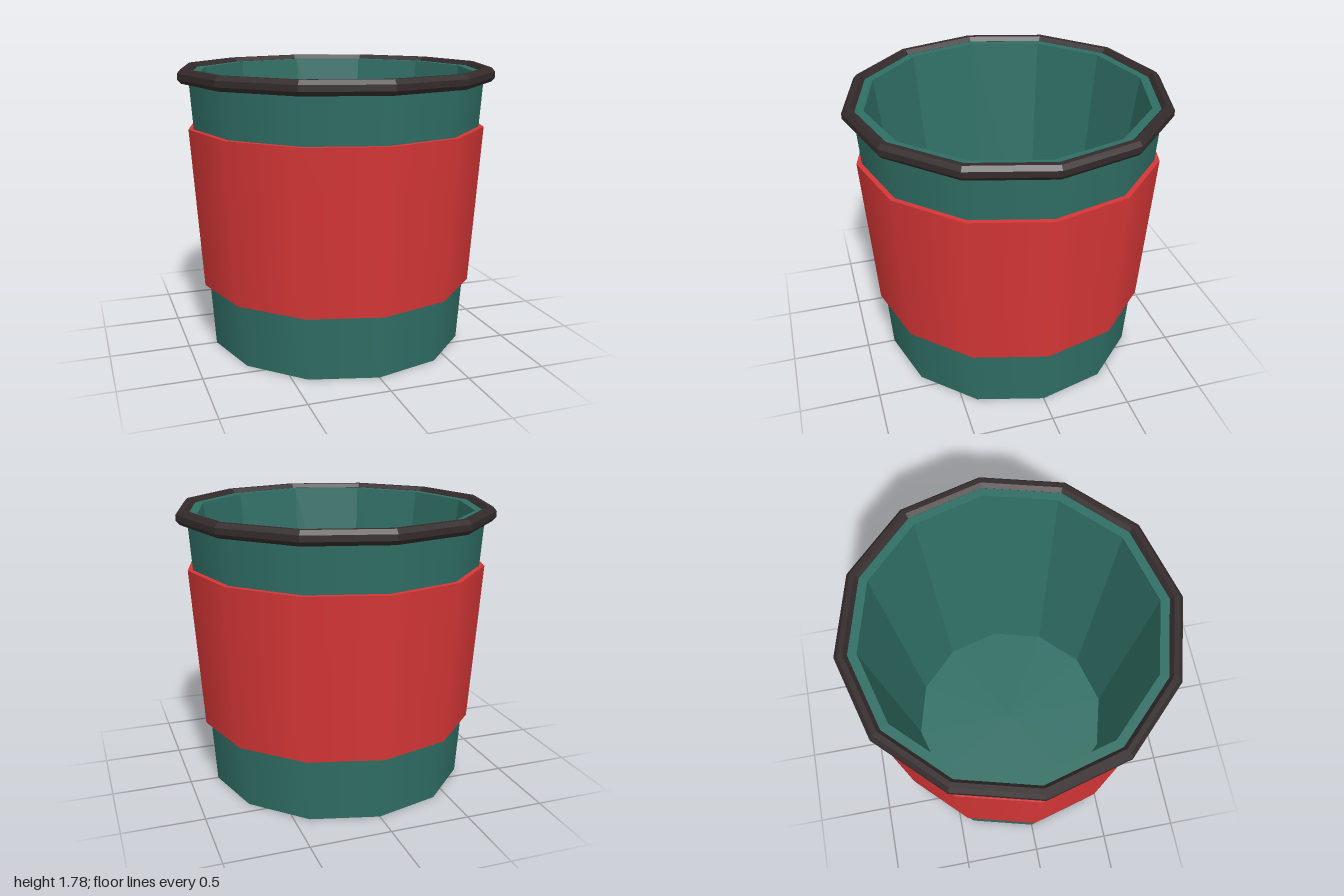
import * as THREE from 'three';
import { mergeGeometries } from 'three/addons/utils/BufferGeometryUtils.js';

const SIDES = 12;

// One band of a turned surface per pair of profile points, so edges between bands stay sharp.
// Profiles run up the outside and down the inside.
function turned(profile, flat = false) {
  const bands = [];
  for (let i = 0; i < profile.length - 1; i++) {
    const pair = [profile[i], profile[i + 1]].map(([r, y]) => new THREE.Vector2(r, y));
    bands.push(new THREE.LatheGeometry(pair, SIDES));
  }
  const merged = mergeGeometries(bands);
  if (!flat) return merged;
  const faceted = merged.toNonIndexed();
  faceted.computeVertexNormals();
  return faceted;
}

function material(name, color) {
  const m = new THREE.MeshStandardMaterial({ color });
  m.name = name;
  return m;
}

export function createModel() {
  const group = new THREE.Group();
  group.name = 'cup';
  const teal = material('teal', 0x2f6e64);
  const red = material('red', 0xd63636);
  const dark = material('dark brown', 0x342b2b);

  function add(name, geometry, mat) {
    const mesh = new THREE.Mesh(geometry, mat);
    mesh.name = name;
    group.add(mesh);
  }

  // Tapered cup: smooth outside, faceted inside
  add('outerWall', turned([[0, 0], [0.82, 0], [0.935, 1.755]]), teal);
  add('innerWall', turned([[0.935, 1.755], [0.87, 1.755], [0.68, 0.1], [0, 0.1]], true), teal);

  // Sleeve wrapped around the middle
  add('sleeve', turned([
    [0.84, 0.405], [0.88, 0.405], [0.945, 1.415], [0.905, 1.415],
  ]), red);

  // Rolled rim with an eight-sided section
  const rim = [];
  for (let i = 0; i <= 8; i++) {
    const a = (i - 0.5) * Math.PI / 4;
    rim.push([0.962 + 0.041 * Math.cos(a), 1.738 + 0.047 * Math.sin(a)]);
  }
  add('rim', turned(rim, true), dark);

  return group;
}
